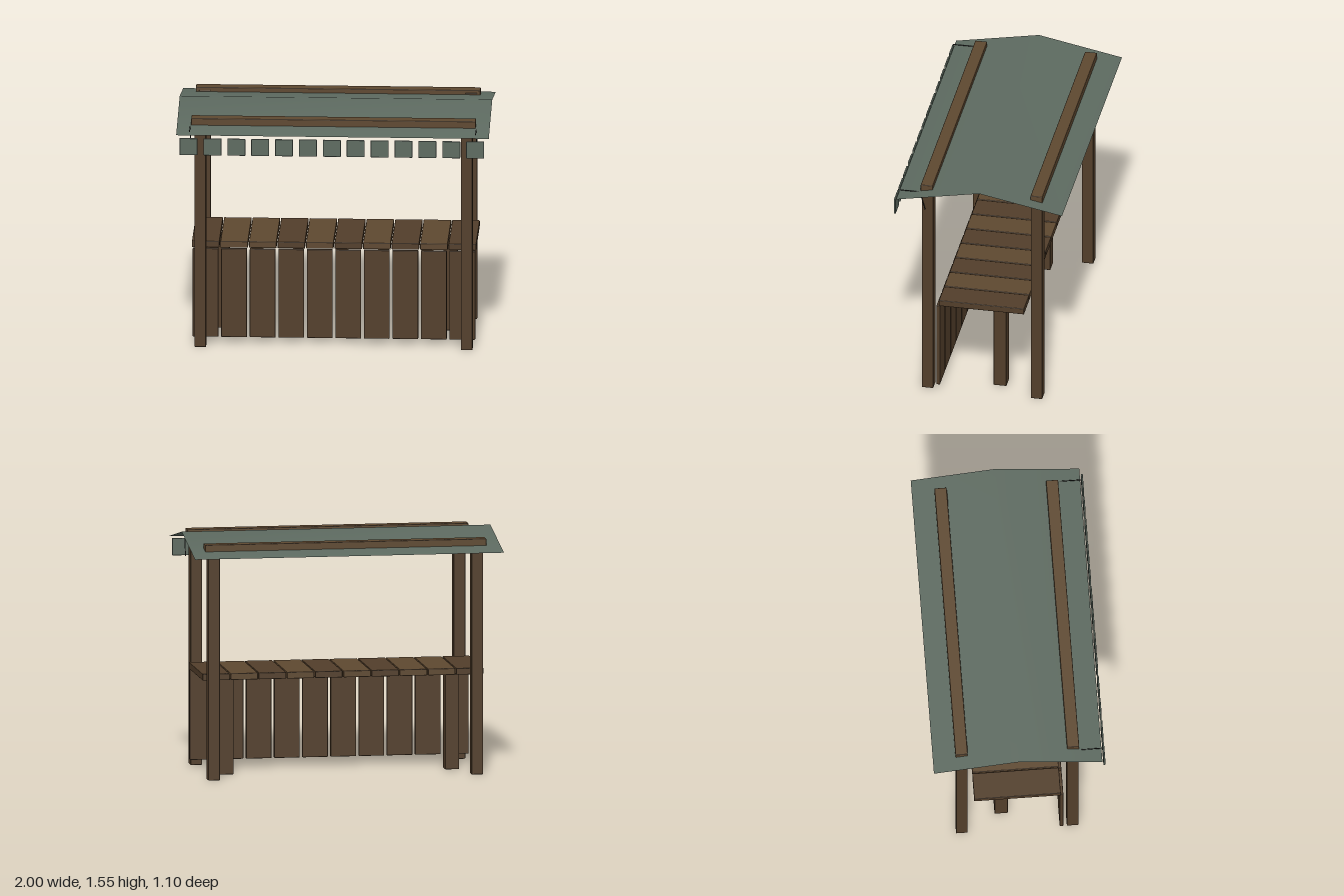
import * as THREE from 'three';
import { RoundedBoxGeometry } from 'three/addons/geometries/RoundedBoxGeometry.js';

export function createModel() {
  const stall = new THREE.Group();
  stall.name = 'marketStall';

  const wood = new THREE.MeshStandardMaterial({ color: 0x5e4830 });
  const darkWood = new THREE.MeshStandardMaterial({ color: 0x523e2a });
  const cloth = new THREE.MeshStandardMaterial({ color: 0x5d6a60, side: THREE.DoubleSide });
  const iron = new THREE.MeshStandardMaterial({ color: 0x2a2a28 });

  const add = (name, geometry, material) => {
    const mesh = new THREE.Mesh(geometry, material);
    mesh.name = name;
    stall.add(mesh);
    return mesh;
  };

  // Softly bevelled block given by its extents on each axis
  const block = (name, [x0, x1], [y0, y1], [z0, z1], material = wood) => {
    const geometry = new RoundedBoxGeometry(x1 - x0, y1 - y0, z1 - z0, 1, 0.004);
    geometry.translate((x0 + x1) / 2, (y0 + y1) / 2, (z0 + z1) / 2);
    return add(name, geometry, material);
  };

  // Corner posts and the inner legs under the counter
  for (const side of [-1, 1]) {
    const span = (a, b) => (side > 0 ? [a, b] : [-b, -a]);
    block('frontPost', span(0.815, 0.89), [0, 1.505], [0.31, 0.385], darkWood);
    block('backPost', span(0.815, 0.89), [0, 1.505], [-0.4, -0.325], darkWood);
    block('counterLeg', span(0.685, 0.775), [0, 0.615], [-0.145, -0.06], darkWood);
  }

  // Beams carrying the awning
  block('frontBeam', [-0.91, 0.91], [1.445, 1.522], [0.31, 0.388]);
  block('backBeam', [-0.91, 0.91], [1.445, 1.522], [-0.405, -0.327]);

  // Counter top planks and the front boards below them
  for (let i = 0; i < 10; i++) {
    const x = -0.822 + i * 0.1825;
    const tone = [3, 5, 7, 9].includes(i) || i === 0 ? darkWood : wood;
    block('counterPlank', [x - 0.088, x + 0.088], [0.63, 0.672], [-0.285, 0.27], tone);
    block('frontBoard', [x - 0.0825, x + 0.0825], [0.04, 0.628], [0.263, 0.287], darkWood);
  }

  // Awning: a thin sheet folded along its ridge, shaded smoothly
  const sheet = new THREE.PlaneGeometry(2, 1.08, 1, 2);
  sheet.rotateX(-Math.PI / 2);
  sheet.translate(0, 0, -0.01);
  const p = sheet.attributes.position;
  for (let i = 0; i < p.count; i++) {
    p.setY(i, 1.555 - 0.105 * Math.abs(p.getZ(i) + 0.01) / 0.54);
  }
  sheet.computeVertexNormals();
  add('awning', sheet, cloth);

  // Row of hanging flaps along the front edge
  for (let i = 0; i < 13; i++) {
    const x = -0.92 + i * 0.1528;
    block('awningFlap', [x - 0.0575, x + 0.0575], [1.323, 1.435], [0.538, 0.55], cloth);
  }

  // Bent wire hooks at both ends of the front beam
  for (const x of [-0.915, 0.915]) {
    const path = new THREE.CurvePath();
    const points = [[1.473, 0.535], [1.473, 0.392], [1.345, 0.357]]
      .map(([y, z]) => new THREE.Vector3(x, y, z));
    path.add(new THREE.LineCurve3(points[0], points[1]));
    path.add(new THREE.LineCurve3(points[1], points[2]));
    add('wireHook', new THREE.TubeGeometry(path, 24, 0.003, 5), iron);
  }

  return stall;
}
